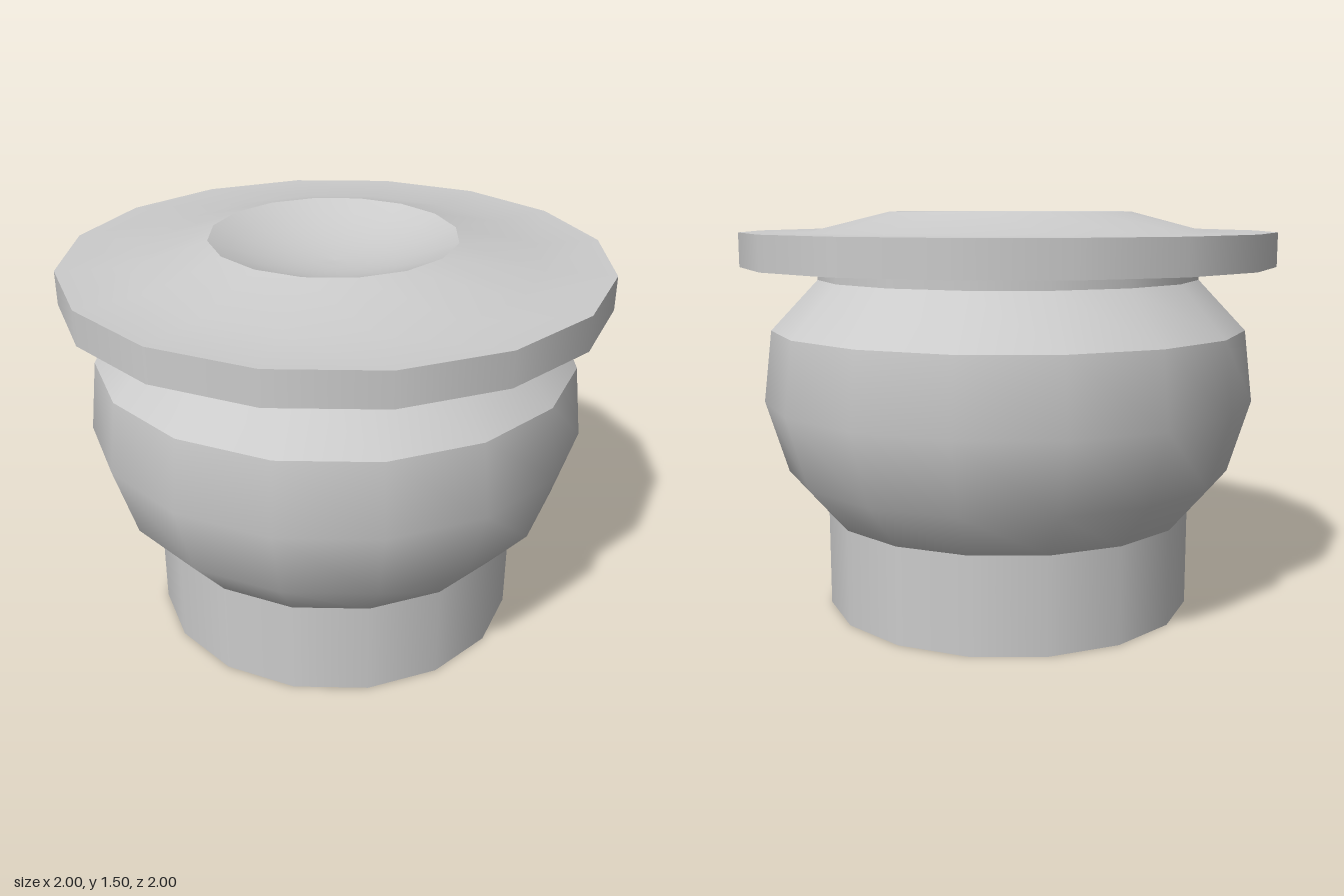
import * as THREE from 'three';

const SIDES = 16;
const material = new THREE.MeshStandardMaterial({ color: 0xcccccc });

// Turned section: smooth inside one profile, sharp where sections meet.
// Profiles run up the outside, [radius, height].
function turned(profile) {
  return new THREE.LatheGeometry(profile.map(([r, y]) => new THREE.Vector2(r, y)), SIDES);
}

export function createModel() {
  const model = new THREE.Group();
  const add = (parent, name, geometry) => {
    const mesh = new THREE.Mesh(geometry, material);
    mesh.name = name;
    parent.add(mesh);
    return mesh;
  };
  const part = (name) => {
    const group = new THREE.Group();
    group.name = name;
    model.add(group);
    return group;
  };

  // Foot
  const foot = part('foot');
  add(foot, 'footBottom', turned([[0, 0], [0.7, 0]]));
  add(foot, 'footWall', turned([[0.7, 0], [0.7, 0.36]]));

  // Bulging body, shoulder and neck
  const body = part('body');
  add(body, 'belly', turned([[0.7, 0.36], [0.845, 0.53], [0.927, 0.8], [0.895, 1.065]]));
  add(body, 'shoulder', turned([[0.895, 1.065], [0.72, 1.25]]));
  add(body, 'neck', turned([[0.72, 1.25], [0.72, 1.3]]));

  // Wide rim
  const rim = part('rim');
  add(rim, 'rimUnderside', turned([[0.72, 1.3], [1, 1.3]]));
  add(rim, 'rimEdge', turned([[1, 1.3], [1, 1.425]]));

  // Raised top, its opening set slightly off centre
  const DISH = { r: 0.455, y: 1.5, x: 0.006, z: -0.014 };
  const top = turned([[1, 1.425], [0.75, 1.425], [DISH.r, DISH.y]]);
  const p = top.attributes.position;
  for (let i = 0; i < p.count; i++) {
    if (p.getY(i) > 1.49) {
      p.setX(i, p.getX(i) + DISH.x);
      p.setZ(i, p.getZ(i) + DISH.z);
    }
  }
  add(rim, 'rimTop', top);

  // Shallow spherical hollow
  const depth = 0.1, rings = 6, hollow = [];
  for (let i = 0; i <= rings; i++) {
    const t = 1 - i / rings;
    hollow.push([DISH.r * t, DISH.y - depth * (1 - t * t)]);
  }
  add(rim, 'hollow', turned(hollow)).position.set(DISH.x, 0, DISH.z);

  return model;
}
